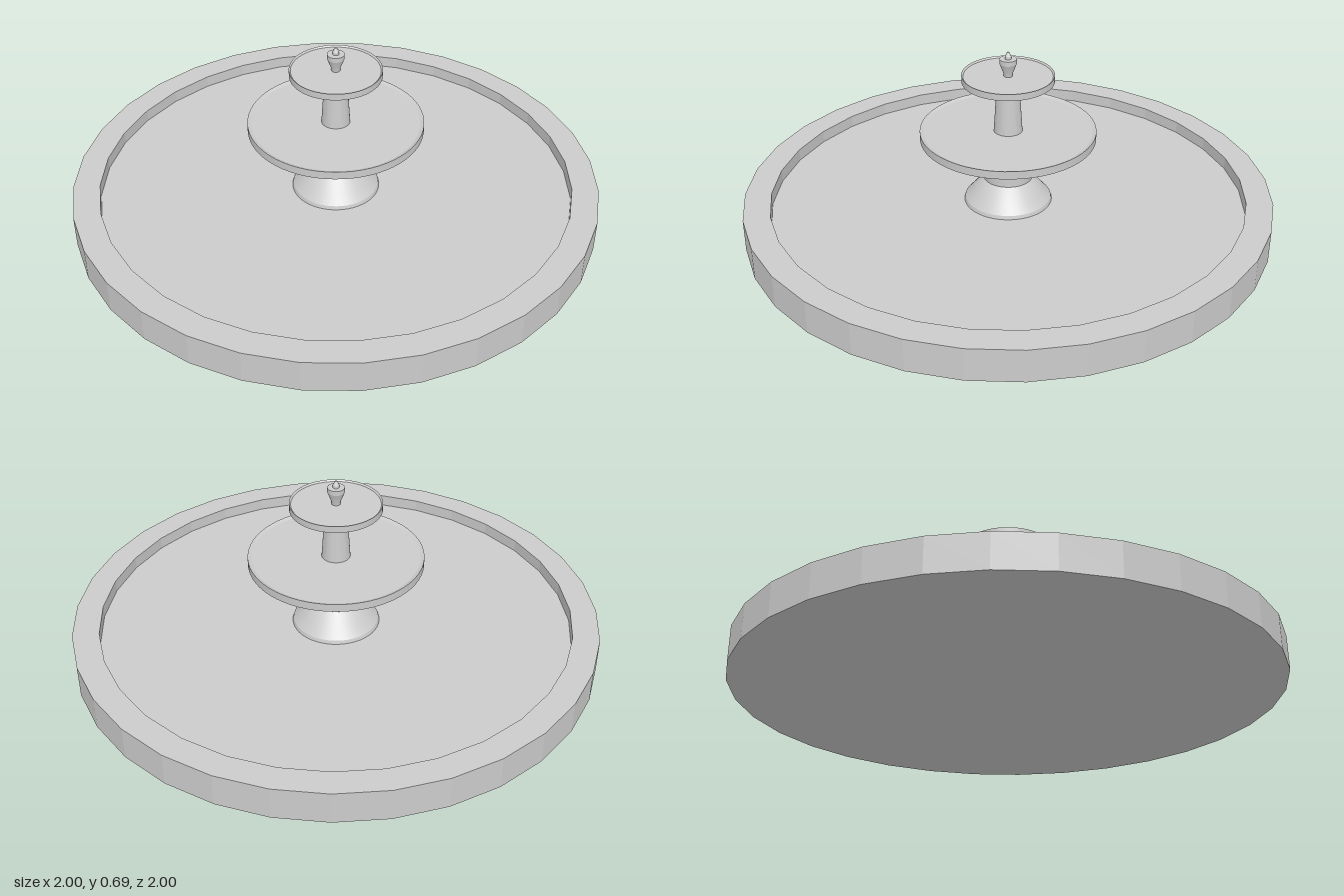
import * as THREE from 'three';
import { toCreasedNormals } from 'three/addons/utils/BufferGeometryUtils.js';

const stone = new THREE.MeshStandardMaterial({ color: 0xcccccc });
const facetedStone = new THREE.MeshStandardMaterial({ color: 0xcccccc, flatShading: true });

// Turned part from [radius, height] pairs, listed bottom to top
function turned(name, profile, segments, faceted = false) {
  const points = profile.map(([r, y]) => new THREE.Vector2(r, y));
  const lathe = new THREE.LatheGeometry(points, segments);
  const mesh = faceted
    ? new THREE.Mesh(lathe, facetedStone)
    : new THREE.Mesh(toCreasedNormals(lathe, 0.35), stone);
  mesh.name = name;
  return mesh;
}

// Shallow dish: flared underside, upright lip, slightly sunken top
function bowl(name, footRadius, footY, radius, lipY, topY, rim) {
  return turned(name, [
    [0, footY], [footRadius, footY], [radius, lipY], [radius, topY],
    [radius - rim, topY - 0.006], [0, topY - 0.006],
  ], 64);
}

export function createModel() {
  const fountain = new THREE.Group();
  fountain.name = 'fountain';

  fountain.add(
    // Wide faceted pool with a raised rim
    turned('basin', [
      [0, 0], [1, 0], [1, 0.125], [0.9, 0.125], [0.9, 0.078], [0, 0.078],
    ], 32, true),

    // Flared foot and lower column
    turned('pedestal', [
      [0.167, 0.078], [0.163, 0.092], [0.134, 0.125], [0.097, 0.172],
      [0.093, 0.175], [0.093, 0.246],
    ], 48),
    bowl('lowerBowl', 0.093, 0.243, 0.33, 0.345, 0.376, 0.015),

    // Tapered column carrying the small bowl
    turned('upperColumn', [[0.054, 0.368], [0.05, 0.43], [0.042, 0.555]], 48),
    bowl('upperBowl', 0.042, 0.551, 0.171, 0.572, 0.598, 0.006),

    // Urn-shaped nozzle with a small spike
    turned('finial', [
      [0.016, 0.59], [0.018, 0.605], [0.029, 0.634], [0.032, 0.642], [0.032, 0.66],
      [0.012, 0.66], [0.012, 0.67], [0.004, 0.686], [0, 0.687],
    ], 24),
  );
  return fountain;
}
